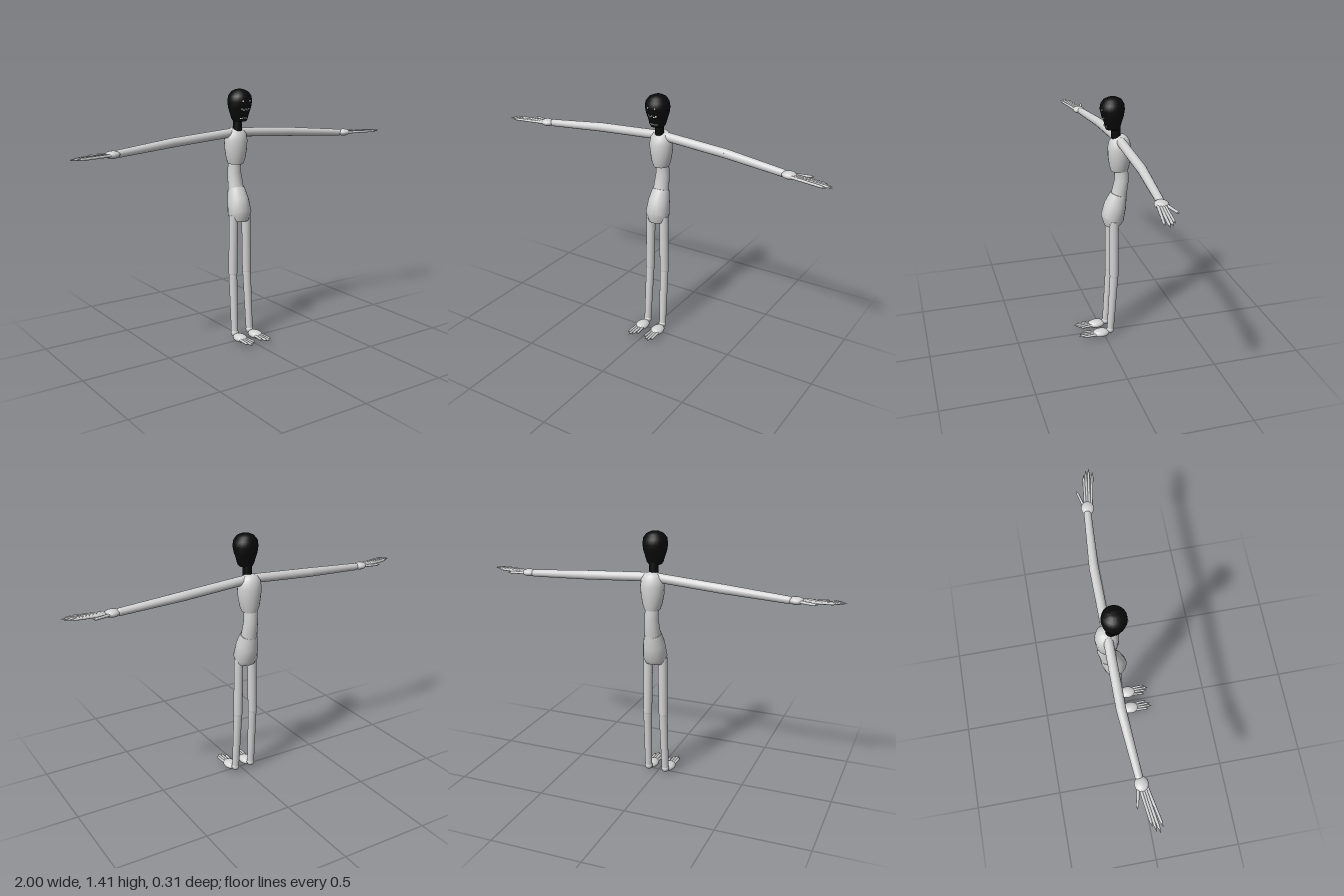
import * as THREE from 'three';
import { toCreasedNormals } from 'three/addons/utils/BufferGeometryUtils.js';

const V = (x, y, z) => new THREE.Vector3(x, y, z);

// Closed skin over elliptical rings [y, z, halfWidth, halfDepth, tilt], bottom to top
function loft(rings, sides = 20) {
  const pos = [], index = [], n = rings.length;
  for (const [y, z, rx, rz, tilt = 0] of rings) {
    for (let j = 0; j < sides; j++) {
      const a = (j / sides) * Math.PI * 2, dz = Math.sin(a) * rz;
      pos.push(Math.cos(a) * rx, y + tilt * dz, z + dz);
    }
  }
  pos.push(0, rings[0][0], rings[0][1], 0, rings[n - 1][0], rings[n - 1][1]);
  const bottom = n * sides, top = bottom + 1;
  for (let j = 0; j < sides; j++) {
    const k = (j + 1) % sides, last = (n - 1) * sides;
    for (let i = 0; i < n - 1; i++) {
      const a = i * sides + j, b = i * sides + k;
      index.push(a, a + sides, b, b, a + sides, b + sides);
    }
    index.push(bottom, j, k, top, last + k, last + j);
  }
  const g = new THREE.BufferGeometry();
  g.setAttribute('position', new THREE.Float32BufferAttribute(pos, 3));
  g.setIndex(index);
  return toCreasedNormals(g, 0.65);
}

export function createModel() {
  const model = new THREE.Group();
  model.name = 'jointedFigure';
  const makeMat = (name, color) => {
    const m = new THREE.MeshStandardMaterial({ color });
    m.name = name;
    return m;
  };
  const grey = makeMat('paleGrey', 0xd2d2d2);
  const black = makeMat('black', 0x0a0a0a);
  const white = makeMat('white', 0xf0f0f0);

  const add = (parent, name, geo, mat) => {
    const m = new THREE.Mesh(geo, mat);
    m.name = name;
    parent.add(m);
    return m;
  };
  // Tapered rod between two points
  const rod = (parent, name, a, b, ra, rb, sides = 16) => {
    const d = b.clone().sub(a);
    const m = add(parent, name, new THREE.CylinderGeometry(rb, ra, d.length(), sides), grey);
    m.position.copy(a).addScaledVector(d, 0.5);
    m.quaternion.setFromUnitVectors(V(0, 1, 0), d.normalize());
  };
  const ball = (parent, name, p, rx, ry = rx, rz = rx) => {
    const m = add(parent, name, new THREE.SphereGeometry(1, 16, 12), grey);
    m.position.copy(p);
    m.scale.set(rx, ry, rz);
  };
  // Finger or toe with a pointed tip
  const digit = (parent, name, a, b) => {
    const k = a.clone().lerp(b, 0.85);
    rod(parent, name, a, k, 0.008, 0.007, 8);
    rod(parent, name + 'Tip', k, b, 0.007, 0.001, 8);
  };

  // Trunk
  add(model, 'pelvis', loft([
    [0.685, -0.06, 0.052, 0.046, -0.05], [0.725, -0.058, 0.067, 0.063, 0.28],
    [0.80, -0.075, 0.059, 0.059, 0.3], [0.862, -0.093, 0.047, 0.044, 0.3],
  ]), grey);
  add(model, 'abdomen', loft([
    [0.855, -0.094, 0.044, 0.042, 0.3], [0.95, -0.111, 0.038, 0.039, 0], [1.01, -0.105, 0.035, 0.038, 0],
  ]), grey);
  add(model, 'chest', loft([
    [1.0, -0.097, 0.042, 0.047], [1.03, -0.096, 0.053, 0.055], [1.08, -0.095, 0.062, 0.061],
    [1.13, -0.095, 0.065, 0.063], [1.165, -0.096, 0.06, 0.056], [1.188, -0.098, 0.045, 0.042],
    [1.2, -0.1, 0.024, 0.024],
  ]), grey);

  // Head and neck
  rod(model, 'neck', V(0, 1.185, -0.076), V(0, 1.26, -0.074), 0.025, 0.025);
  model.children.at(-1).material = black;
  const headRings = [
    [1.238, -0.057, 0.036, 0.037], [1.25, -0.057, 0.045, 0.042], [1.275, -0.058, 0.052, 0.047],
    [1.31, -0.057, 0.063, 0.059], [1.345, -0.055, 0.068, 0.066], [1.375, -0.055, 0.063, 0.062],
    [1.397, -0.056, 0.046, 0.047], [1.408, -0.057, 0.022, 0.024], [1.411, -0.057, 0.008, 0.008],
  ];
  add(model, 'head', loft(headRings, 24), black);

  // Face details sit on the curved front of the head
  const mark = (name, x, y, w, h) => {
    const i = headRings.findIndex(r => r[0] > y), lo = headRings[i - 1], hi = headRings[i];
    const [, z, rx, rz] = lo.map((v, c) => THREE.MathUtils.lerp(v, hi[c], (y - lo[0]) / (hi[0] - lo[0])));
    const m = add(model, name, new THREE.BoxGeometry(w, h, 0.006), white);
    m.position.set(x, y, z + rz * Math.sqrt(1 - (x / rx) ** 2));
    m.rotation.y = Math.atan2(x / (rx * rx), Math.sqrt(1 - (x / rx) ** 2) / rz);
  };
  for (const s of [-1, 1]) mark('eye', s * 0.021, 1.35, 0.007, 0.007);
  for (let i = -2; i <= 2; i++) {
    mark('upperTooth', i * 0.011, 1.307 - (i % 2 ? 0.006 : 0), 0.006, 0.007);
    mark('lowerTooth', i * 0.01, 1.257, 0.006, 0.005);
  }

  for (const s of [1, -1]) {
    const side = s > 0 ? 'left' : 'right';
    // Arm
    const arm = new THREE.Group();
    arm.name = side + 'Arm';
    model.add(arm);
    const shoulder = V(s * 0.035, 1.172, -0.093), elbow = V(s * 0.39, 1.148, -0.093);
    const wrist = V(s * 0.72, 1.121, -0.07);
    ball(arm, 'shoulder', shoulder, 0.025);
    rod(arm, 'upperArm', shoulder, elbow, 0.025, 0.025);
    ball(arm, 'elbow', elbow, 0.025);
    rod(arm, 'forearm', elbow, wrist, 0.025, 0.02);
    ball(arm, 'wrist', wrist, 0.02);
    ball(arm, 'palm', V(s * 0.758, 1.12, -0.064), 0.04, 0.02, 0.035);
    [[0.965, -0.052], [0.99, -0.036], [1.0, -0.019], [0.975, -0.002]].forEach(([x, z], i) =>
      digit(arm, 'finger', V(s * 0.775, 1.12, -0.074 + i * 0.011), V(s * x, 1.12, z)));
    digit(arm, 'thumb', V(s * 0.755, 1.12, -0.078), V(s * 0.872, 1.12, -0.106));

    // Leg
    const leg = new THREE.Group();
    leg.name = side + 'Leg';
    model.add(leg);
    const hip = V(s * 0.042, 0.72, -0.056), knee = V(s * 0.047, 0.385, -0.057);
    const ankle = V(s * 0.051, 0.045, -0.036);
    rod(leg, 'thigh', hip, knee, 0.026, 0.025);
    ball(leg, 'knee', knee, 0.025);
    rod(leg, 'shin', knee, ankle, 0.024, 0.02);
    ball(leg, 'heel', V(s * 0.051, 0.034, -0.034), 0.022);
    ball(leg, 'foot', V(s * 0.052, 0.022, 0.022), 0.037, 0.022, 0.05);
    [[0.025, 0.125], [0.044, 0.146], [0.061, 0.155], [0.077, 0.135]].forEach(([x, z], i) =>
      digit(leg, 'toe', V(s * (0.033 + i * 0.013), 0.023, 0.03), V(s * x, 0.023, z)));
  }
  return model;
}
